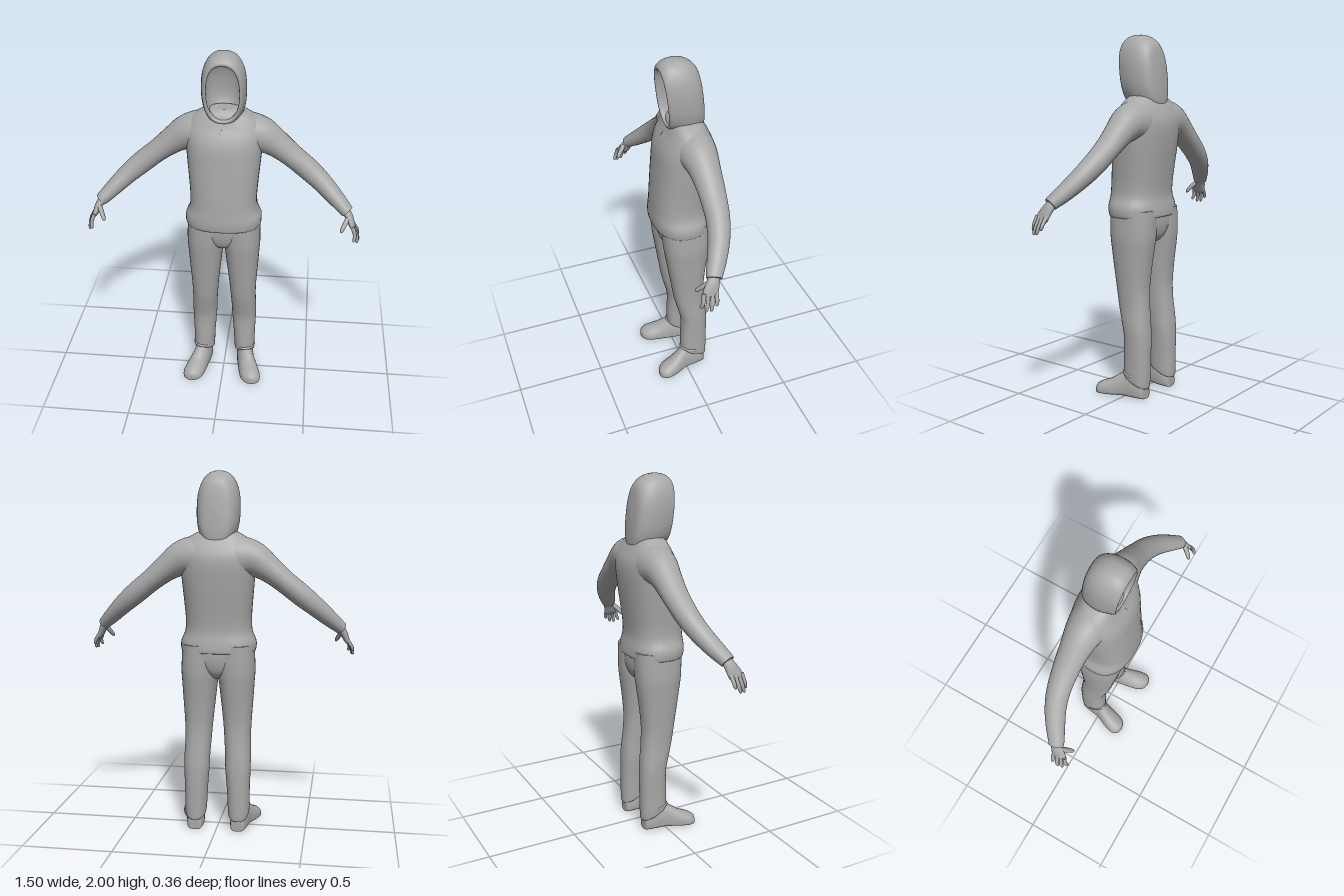
import * as THREE from 'three';

const V = (x, y, z) => new THREE.Vector3(x, y, z);
const pw = (v, e) => Math.sign(v) * Math.abs(v) ** e;

// Catmull-Rom interpolation of key rows, n steps per span
function smooth(keys, n = 4) {
  const out = [], last = keys.length - 1;
  for (let i = 0; i < last; i++) {
    const [a, b, c, d] = [keys[Math.max(i - 1, 0)], keys[i], keys[i + 1], keys[Math.min(i + 2, last)]];
    for (let s = 0; s < n; s++) {
      const t = s / n;
      out.push(b.map((_, k) => b[k] + 0.5 * t * (c[k] - a[k]
        + t * (2 * a[k] - 5 * b[k] + 4 * c[k] - d[k] + t * (3 * (b[k] - c[k]) + d[k] - a[k])))));
    }
  }
  out.push(keys[last]);
  return out;
}

// Closed skin over a row of rings, both ends capped, faces turned outward
function loft(rings) {
  const n = rings[0].length, pts = rings.flat(), idx = [];
  for (let i = 0; i < rings.length - 1; i++) {
    for (let j = 0; j < n; j++) {
      const a = i * n + j, b = i * n + (j + 1) % n;
      idx.push(a, b, a + n, b, b + n, a + n);
    }
  }
  for (const [end, flip] of [[rings[0], true], [rings[rings.length - 1], false]]) {
    const mid = end.reduce((s, p) => s.add(p), V(0, 0, 0)).divideScalar(n);
    const base = pts.length;
    pts.push(...end, mid);
    for (let j = 0; j < n; j++) {
      const a = base + j, b = base + (j + 1) % n;
      idx.push(...(flip ? [b, a, base + n] : [a, b, base + n]));
    }
  }
  let volume = 0;
  for (let i = 0; i < idx.length; i += 3) {
    volume += pts[idx[i]].dot(pts[idx[i + 1]].clone().cross(pts[idx[i + 2]]));
  }
  if (volume < 0) idx.reverse();
  const g = new THREE.BufferGeometry().setFromPoints(pts);
  g.setIndex(idx);
  g.computeVertexNormals();
  return g;
}

// One ring of points from a rule on cos and sin
function ring(n, power, rule) {
  return Array.from({ length: n }, (_, j) => {
    const t = j / n * Math.PI * 2;
    return rule(pw(Math.cos(t), 2 / power), pw(Math.sin(t), 2 / power));
  });
}

// Upright body: keys are y, x min, x max, z back, z front, tilt
function upright(keys, side = 1, power = 2.4) {
  return loft(smooth(keys).map(([y, x0, x1, z0, z1, tilt]) => ring(40, power, (c, s) => {
    const z = (z0 + z1) / 2 + s * (z1 - z0) / 2;
    return V(side * ((x0 + x1) / 2 + c * (x1 - x0) / 2), y + tilt * z, z);
  })));
}

// Limb along a path: keys are x, y, z, thickness, depth
function limb(keys, side, n = 24, steps = 4) {
  const rows = smooth(keys, steps), at = i => V(...rows[Math.min(Math.max(i, 0), rows.length - 1)].slice(0, 3));
  return loft(rows.map((r, i) => {
    const t = at(i + 1).sub(at(i - 1)).normalize();
    const u = V(0, 0, 1).cross(t).normalize(), w = t.clone().cross(u);
    return ring(n, 2, (c, s) => {
      const p = at(i).addScaledVector(u, c * r[3]).addScaledVector(w, s * r[4]);
      p.x *= side;
      return p;
    });
  }));
}

export function createModel() {
  const model = new THREE.Group();
  const grey = new THREE.MeshStandardMaterial({ color: 0xa8a8a8 });
  grey.name = 'plain grey';
  const add = (name, geometry) => {
    const mesh = new THREE.Mesh(geometry, grey);
    mesh.name = name;
    model.add(mesh);
  };
  // Symmetric level rows: y, half width, z back, z front
  const sym = rows => rows.map(([y, w, z0, z1]) => [y, -w, w, z0, z1, 0]);

  // Sweatshirt body, with the hem turned under
  add('sweatshirtBody', upright(sym([
    [1.045, 0.185, -0.135, 0.125], [1.02, 0.2, -0.15, 0.14], [1.03, 0.209, -0.157, 0.15],
    [1.075, 0.209, -0.152, 0.153], [1.13, 0.187, -0.143, 0.15], [1.2, 0.183, -0.146, 0.146],
    [1.3, 0.19, -0.158, 0.138], [1.4, 0.199, -0.17, 0.129], [1.49, 0.206, -0.177, 0.119],
    [1.55, 0.21, -0.172, 0.1], [1.6, 0.2, -0.152, 0.075], [1.64, 0.165, -0.13, 0.058],
    [1.67, 0.115, -0.11, 0.045], [1.69, 0.06, -0.07, 0.02],
  ])));

  // Hollow hood: inside back, out to the rim, over the outside to the back
  // keys are z, half width, y bottom, y top
  const hood = smooth([
    [-0.098, 0.004, 1.79, 1.8], [-0.09, 0.05, 1.71, 1.88], [-0.05, 0.09, 1.65, 1.955],
    [0.01, 0.1, 1.64, 1.965], [0.065, 0.086, 1.648, 1.945], [0.083, 0.091, 1.636, 1.954],
    [0.075, 0.103, 1.624, 1.972], [0.045, 0.112, 1.61, 1.992], [0, 0.118, 1.59, 2],
    [-0.05, 0.114, 1.59, 1.994], [-0.093, 0.097, 1.6, 1.968], [-0.117, 0.066, 1.64, 1.92],
    [-0.125, 0.004, 1.78, 1.79],
  ]);
  add('hood', loft(hood.map(([z, w, y0, y1]) => ring(48, 2.4, (c, s) => {
    const y = (y0 + y1) / 2 + s * (y1 - y0) / 2;
    return V(c * w, y, z + 0.11 * (y - 1.8));
  }))));

  // Seat of the trousers between the legs
  add('trouserSeat', upright(sym([
    [0.865, 0.015, -0.07, 0.03], [0.885, 0.05, -0.11, 0.08], [0.92, 0.1, -0.135, 0.105],
    [0.98, 0.15, -0.147, 0.118], [1.06, 0.16, -0.145, 0.12],
  ])));

  for (const [side, label] of [[1, 'left'], [-1, 'right']]) {
    // Sleeve running from the chest to the wrist
    add(label + 'Sleeve', limb([
      [0, 1.52, -0.03, 0.14, 0.13], [0.1, 1.535, -0.045, 0.125, 0.115], [0.19, 1.53, -0.05, 0.1, 0.097],
      [0.27, 1.485, -0.053, 0.076, 0.08], [0.36, 1.415, -0.053, 0.062, 0.07], [0.46, 1.335, -0.043, 0.06, 0.062],
      [0.54, 1.268, -0.018, 0.053, 0.056], [0.61, 1.205, 0.02, 0.045, 0.05],
      [0.66, 1.16, 0.052, 0.037, 0.043], [0.676, 1.146, 0.06, 0.034, 0.04],
    ], side, 32));

    // Hand: palm, four fanned fingers and a thumb
    add(label + 'Palm', limb([
      [0.655, 1.165, 0.05, 0.024, 0.027], [0.684, 1.125, 0.069, 0.021, 0.034],
      [0.703, 1.083, 0.088, 0.016, 0.041], [0.712, 1.062, 0.094, 0.01, 0.036],
    ], side, 20));
    const tips = [[0.716, 1.008, 0.143], [0.734, 0.993, 0.122], [0.74, 0.996, 0.097], [0.738, 1.02, 0.068]];
    tips.forEach(([x, y, z], i) => {
      const bz = 0.124 - i * 0.021;
      add(label + 'Finger' + (i + 1), limb([
        [0.704, 1.088, bz, 0.011, 0.011], [(0.712 + x) / 2 + 0.006, (1.078 + y) / 2, (bz + z) / 2, 0.01, 0.0105],
        [x, y + 0.008, z, 0.008, 0.008], [x, y, z, 0.003, 0.003],
      ], side, 10, 3));
    });
    add(label + 'Thumb', limb([
      [0.684, 1.13, 0.085, 0.014, 0.014], [0.664, 1.1, 0.115, 0.013, 0.014],
      [0.648, 1.07, 0.138, 0.01, 0.01], [0.644, 1.06, 0.142, 0.003, 0.003],
    ], side, 10, 3));

    // Trouser leg, its hem dropping toward the heel
    add(label + 'TrouserLeg', upright([
      [0.135, 0.075, 0.17, -0.12, 0.005, 0.45], [0.118, 0.066, 0.178, -0.13, 0.016, 0.45],
      [0.135, 0.062, 0.183, -0.134, 0.02, 0.3], [0.22, 0.057, 0.184, -0.135, 0.02, 0],
      [0.35, 0.047, 0.188, -0.134, 0.018, 0], [0.43, 0.044, 0.188, -0.128, 0.034, 0],
      [0.52, 0.038, 0.185, -0.119, 0.056, 0], [0.62, 0.03, 0.188, -0.115, 0.072, 0],
      [0.74, 0.017, 0.196, -0.125, 0.09, 0], [0.84, 0.006, 0.202, -0.138, 0.105, 0],
      [0.92, -0.005, 0.206, -0.146, 0.115, 0], [1.06, -0.015, 0.2, -0.148, 0.122, 0],
    ], side, 2.3));

    // Shoe with a flat sole: keys are z, x centre, half width, height
    const shoe = smooth([
      [-0.12, 0.122, 0.025, 0.06], [-0.11, 0.123, 0.04, 0.1], [-0.06, 0.126, 0.05, 0.145],
      [0.0, 0.134, 0.051, 0.147], [0.04, 0.146, 0.055, 0.122], [0.085, 0.16, 0.06, 0.092],
      [0.13, 0.171, 0.06, 0.073], [0.16, 0.176, 0.048, 0.058], [0.175, 0.178, 0.028, 0.046], [0.18, 0.178, 0.008, 0.034],
    ]);
    add(label + 'Shoe', loft(shoe.map(([z, x, w, h]) => ring(32, 2, (c, s) =>
      V(side * (x + pw(c, s < 0 ? 0.6 : 1) * w), h * 0.3 + (s < 0 ? pw(s, 0.45) * h * 0.3 : s * h * 0.7), z)))));

    // Padded collar around the ankle
    const collar = new THREE.TorusGeometry(0.05, 0.009, 10, 32);
    collar.rotateX(Math.PI / 2).scale(1, 1, 1.2).rotateX(-0.12).translate(side * 0.128, 0.133, -0.042);
    add(label + 'ShoeCollar', collar);
  }
  return model;
}
